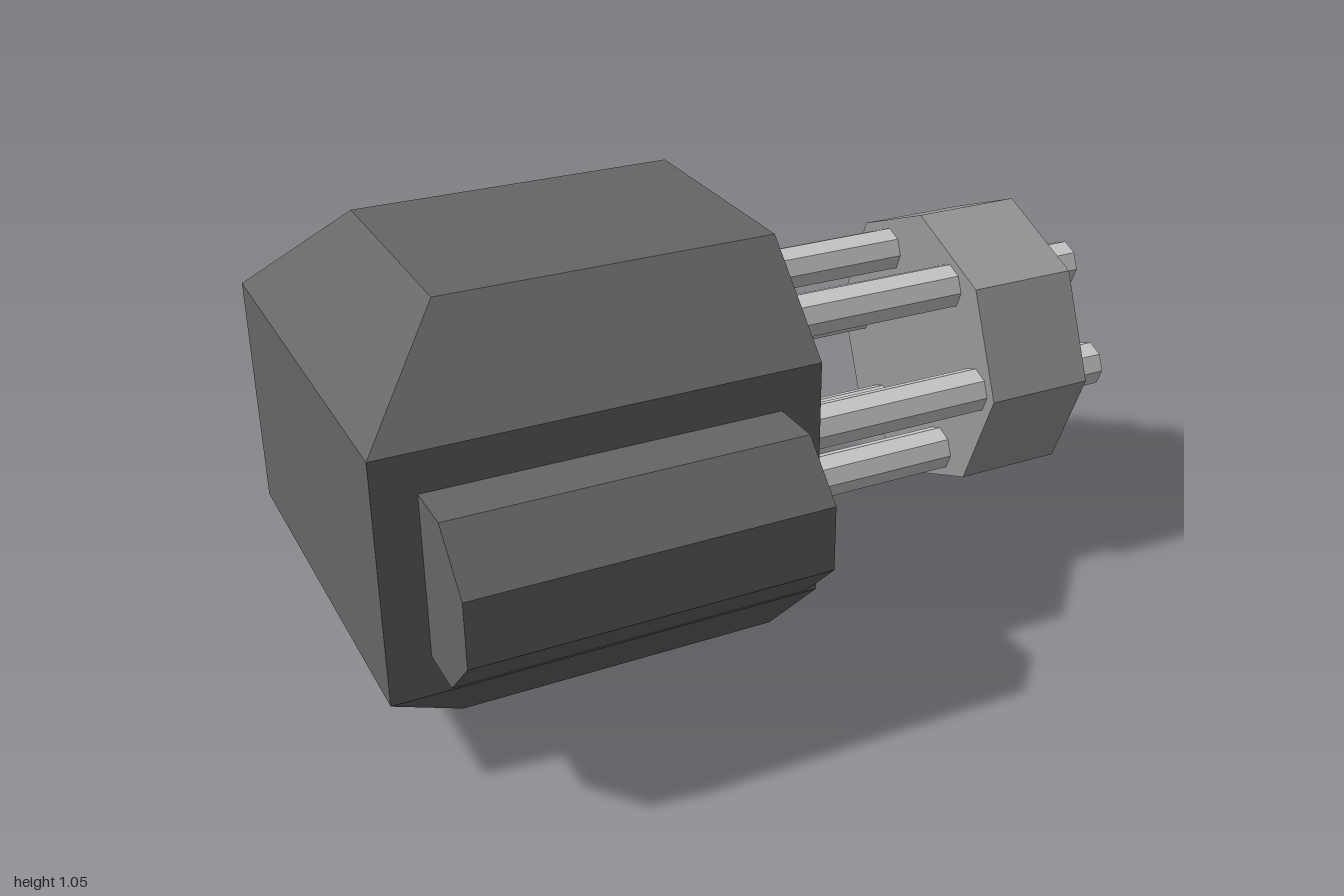
import * as THREE from 'three';
import { ConvexGeometry } from 'three/addons/geometries/ConvexGeometry.js';

const CY = 0.527, CZ = -0.125; // barrel axis

const material = (color) => new THREE.MeshStandardMaterial({ color, flatShading: true });

export function createModel() {
  const group = new THREE.Group();
  const dark = material(0x666666);
  const mid = material(0x999999);
  const light = material(0xcccccc);

  const add = (name, geometry, mat) => {
    const mesh = new THREE.Mesh(geometry, mat);
    mesh.name = name;
    group.add(mesh);
    return mesh;
  };

  // Eight-sided prism lying along x from x0 to x1
  const rod = (name, x0, x1, radius, y, z, mat) => {
    const geometry = new THREE.CylinderGeometry(radius, radius, x1 - x0, 8);
    geometry.rotateZ(-Math.PI / 2);
    add(name, geometry, mat).position.set((x0 + x1) / 2, y, z);
  };

  // Housing: octagonal block whose top and bottom slope in at the rear
  const housing = [];
  for (const sy of [-1, 1]) {
    for (const sz of [-1, 1]) {
      for (const [rear, dy, dz] of [[-1, 0.298, 0.525], [-0.77, 0.527, 0.296]]) {
        for (const x of [rear, 0.05]) {
          housing.push(new THREE.Vector3(x, CY + sy * dy, CZ + sz * dz));
        }
      }
    }
  }
  add('housing', new ConvexGeometry(housing), dark);

  // Side pod with bevelled outer edges
  const pod = [];
  for (const x of [-0.9, -0.05]) {
    for (const sy of [-1, 1]) {
      for (const [dy, z] of [[0.2, 0.39], [0.2, 0.53], [0.08, 0.65]]) {
        pod.push(new THREE.Vector3(x, CY + sy * dy, z));
      }
    }
  }
  add('sidePod', new ConvexGeometry(pod), dark);

  // Mounting plate and front clamp
  rod('mountingPlate', 0.05, 0.13, 0.376, CY, CZ, mid);
  rod('barrelClamp', 0.64, 0.925, 0.376, CY, CZ, mid);

  // Ring of six barrels
  for (const s of [-1, 1]) {
    rod('barrel', 0.1, 1, 0.058, CY, CZ + s * 0.288, light);
    for (const t of [-1, 1]) {
      rod('barrel', 0.1, 1, 0.058, CY + t * 0.233, CZ + s * 0.145, light);
    }
  }

  return group;
}
